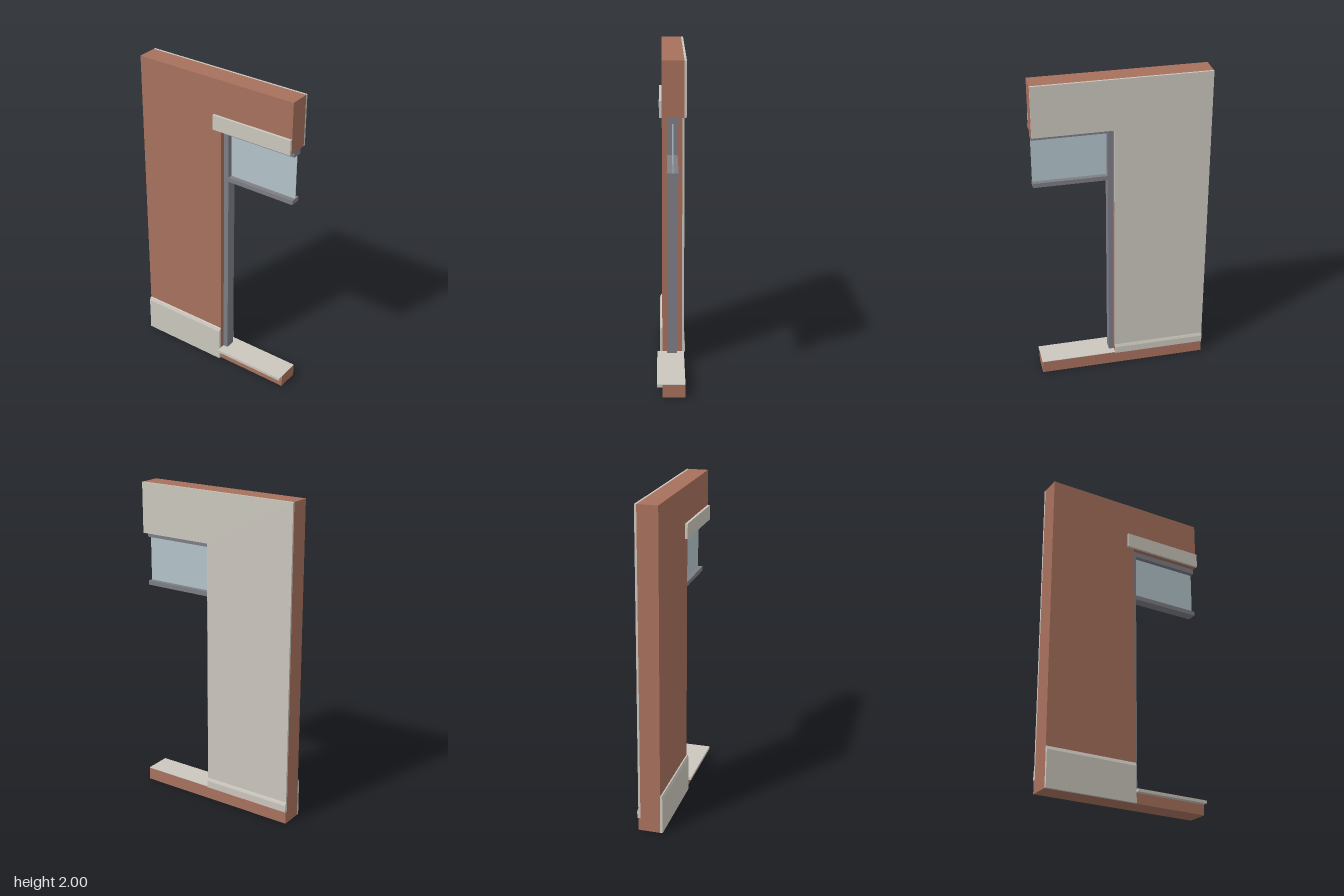
import * as THREE from 'three';

export function createModel() {
  const model = new THREE.Group();
  model.name = 'wallSection';

  const material = (name, color) => {
    const m = new THREE.MeshStandardMaterial({ color });
    m.name = name;
    return m;
  };
  const brick = material('brick', 0xa8715d);
  const stone = material('stone', 0xcbc7be);
  const metal = material('frameGrey', 0x7d7d85);
  const pane = material('paleGlass', 0xb3c4cb);

  const add = (name, geometry, mat, parent = model) => {
    const mesh = new THREE.Mesh(geometry, mat);
    mesh.name = name;
    parent.add(mesh);
    return mesh;
  };

  // Box given by its limits on each axis
  const box = (name, [x0, x1], [y0, y1], [z0, z1], mat, parent) => {
    const g = new THREE.BoxGeometry(x1 - x0, y1 - y0, z1 - z0);
    g.translate((x0 + x1) / 2, (y0 + y1) / 2, (z0 + z1) / 2);
    return add(name, g, mat, parent);
  };

  const toShape = (points) => new THREE.Shape(points.map(([a, b]) => new THREE.Vector2(a, b)));

  // (z, y) profile run along x
  const moulding = (name, points, [x0, x1], mat) => {
    const g = new THREE.ExtrudeGeometry(toShape(points), { depth: x1 - x0, bevelEnabled: false });
    g.rotateY(-Math.PI / 2);
    g.translate(x1, 0, 0);
    return add(name, g, mat);
  };

  // (x, y) outline run along z
  const slab = (name, points, [z0, z1], mat) => {
    const g = new THREE.ExtrudeGeometry(toShape(points), { depth: z1 - z0, bevelEnabled: false });
    g.translate(0, 0, z0);
    return add(name, g, mat);
  };

  const left = -0.534, right = 0.53, jamb = 0.05;
  const sillTop = 0.083, head = 1.685, top = 2;
  const front = 0.056, back = -0.068, plasterBack = -0.081;

  // Brick wall around the opening, on a full-depth base
  const outline = (bottom) => [
    [left, bottom], [jamb, bottom], [jamb, head], [right, head], [right, top], [left, top],
  ];
  slab('brickWall', outline(0.08), [back, front], brick);
  box('brickBase', [left, right], [0, 0.08], [plasterBack, front], brick);

  // Inner plaster and skirting
  slab('plaster', outline(0.08), [plasterBack, back], stone);
  moulding('skirting', [
    [plasterBack, 0.08], [plasterBack, 0.145], [-0.084, 0.138], [-0.088, 0.125], [-0.088, 0.08],
  ].reverse(), [left, jamb], stone);

  // Outer plinth with sloped top
  moulding('plinth', [
    [front, 0], [0.071, 0], [0.071, 0.222], [0.064, 0.243], [front, 0.245],
  ], [left, jamb], stone);

  // Lintel and sill
  box('lintel', [0, right], [head, 1.778], [front, 0.072], stone);
  box('sillTop', [jamb, right], [0.08, sillTop], [plasterBack, front], stone);
  box('sillNose', [jamb, right], [0.065, sillTop], [front, 0.088], stone);

  // Door frame with transom and fanlight
  const frame = new THREE.Group();
  frame.name = 'doorFrame';
  model.add(frame);
  const depth = [-0.038, 0.026];
  box('frameJamb', [jamb, 0.082], [sillTop, head], depth, metal, frame);
  box('frameHead', [0.082, right], [1.652, head], depth, metal, frame);
  box('transom', [0.082, right], [1.343, 1.371], depth, metal, frame);
  box('fanlight', [0.082, right], [1.371, 1.652], [-0.008, -0.004], pane, frame);

  return model;
}
